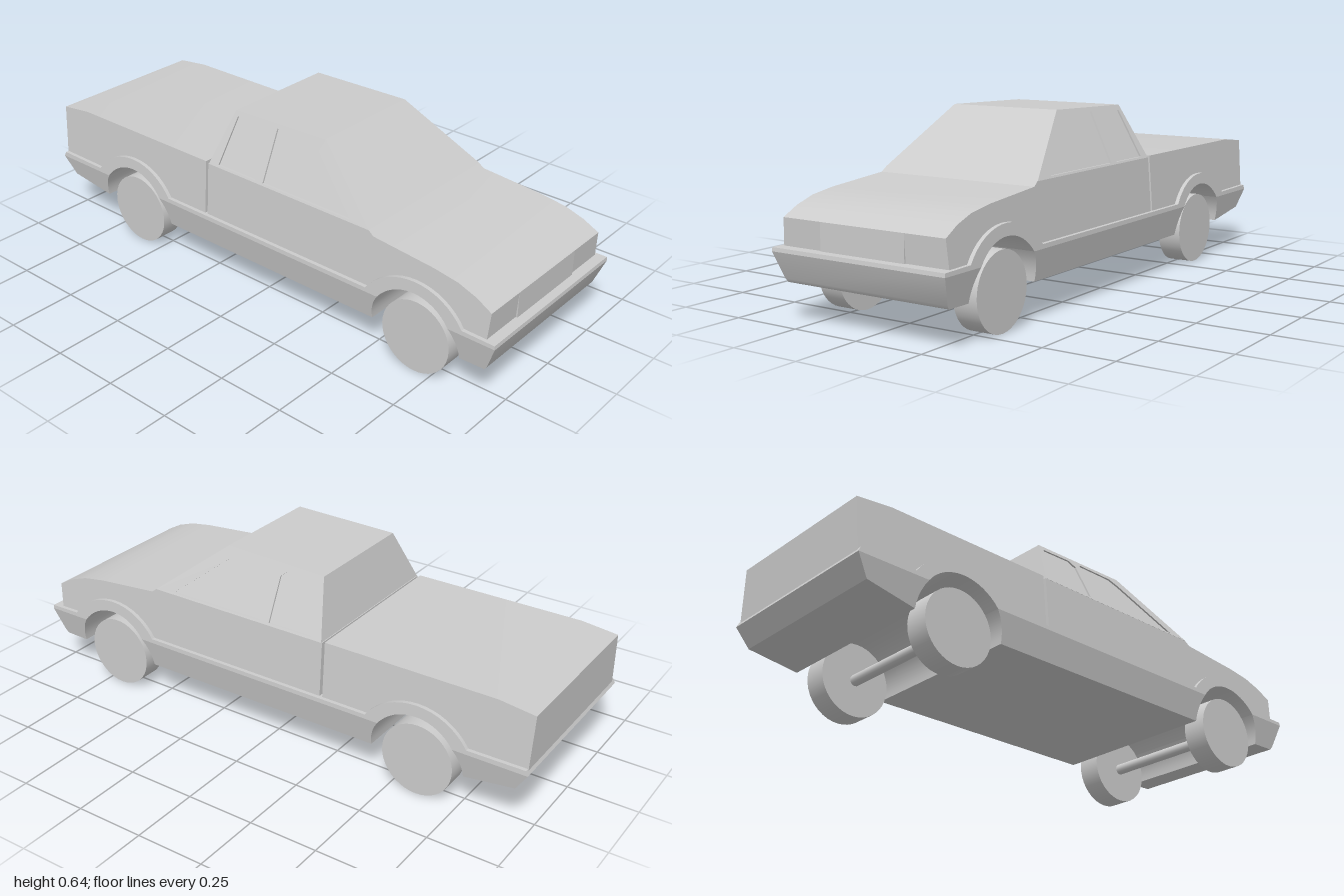
import * as THREE from 'three';
import { toCreasedNormals } from 'three/addons/utils/BufferGeometryUtils.js';

const FRONT = 0.69, REAR = -0.6, AXLE_Y = 0.133;

// Arc over a wheel from its front to its back, starting at height y0
function arch(zc, rz, ry, y0, from = 0, to = 1, n = 16) {
  const a = Math.asin((y0 - AXLE_Y) / ry);
  return Array.from({ length: n + 1 }, (_, i) => {
    const t = a + (Math.PI - 2 * a) * (from + (to - from) * i / n);
    return [zc + rz * Math.cos(t), AXLE_Y + ry * Math.sin(t)];
  });
}
const opening = (zc, y0) => arch(zc, 0.172, 0.172, y0);
const flare = (zc) => arch(zc, 0.225, 0.212, 0.25);

// Side of a wheel opening between two heights; dir +1 is its front side
function openingSide(zc, dir, y0, y1, n = 5) {
  return Array.from({ length: n + 1 }, (_, i) => {
    const y = y0 + (y1 - y0) * i / n;
    return [zc + dir * Math.sqrt(0.172 ** 2 - (y - AXLE_Y) ** 2), y];
  });
}

// Extrudes a side outline of [z, y] points across the car; half width goes from w0 at y0 to w1 at y1
function across(outline, [y0, w0], [y1, w1], holes = []) {
  const vec = (list) => list.map(([z, y]) => new THREE.Vector2(z, y));
  const shape = new THREE.Shape(vec(outline));
  holes.forEach((h) => shape.holes.push(new THREE.Path(vec(h))));
  const geo = new THREE.ExtrudeGeometry(shape, { depth: 2, bevelEnabled: false });
  geo.translate(0, 0, -1).rotateY(-Math.PI / 2);
  const p = geo.attributes.position;
  for (let i = 0; i < p.count; i++) {
    const t = (p.getY(i) - y0) / (y1 - y0);
    p.setX(i, Math.sign(p.getX(i)) * (w0 + (w1 - w0) * t));
  }
  return toCreasedNormals(geo, 0.45);
}

export function createModel() {
  const group = new THREE.Group();
  const material = new THREE.MeshStandardMaterial({ color: 0xcccccc });
  const add = (name, geo) => {
    const mesh = new THREE.Mesh(geo, material);
    mesh.name = name;
    group.add(mesh);
    return mesh;
  };
  const bodyLow = [0.235, 0.326], bodyHigh = [0.45, 0.31];

  // Hood, fenders and doors
  add('frontBody', across([
    [0.96, 0.235], [0.967, 0.34], [0.91, 0.371], [0.84, 0.395], [0.75, 0.409],
    [0.51, 0.43], [0.49, 0.445], [-0.225, 0.445], [-0.225, 0.235],
    ...opening(FRONT, 0.235).reverse(),
  ], bodyLow, bodyHigh));

  // Covered load bed
  add('loadBed', across([
    [-0.236, 0.235], [-0.236, 0.45], [-0.87, 0.45], [-1, 0.435], [-0.994, 0.235],
    ...opening(REAR, 0.235).reverse(),
  ], bodyLow, bodyHigh));

  // Cladding ridge that rises over the wheels
  add('claddingRidge', across([
    [1, 0.235], [0.998, 0.248], ...flare(FRONT), ...flare(REAR), [-0.992, 0.252], [-1, 0.235],
    ...opening(REAR, 0.235).reverse(), ...opening(FRONT, 0.235).reverse(),
  ], [0.235, 0.34], [0.345, 0.332]));

  // Lower body: bumpers and sills, tucked in towards the bottom
  const skirtLow = [0.13, 0.317], skirtHigh = [0.235, 0.34];
  add('frontBumper', across([
    [1, 0.235], [0.965, 0.145], [0.955, 0.132],
    ...openingSide(FRONT, 1, 0.13, 0.235),
  ], skirtLow, skirtHigh));
  add('sillAndFloor', across([
    ...openingSide(FRONT, -1, 0.235, 0.13), ...openingSide(REAR, 1, 0.13, 0.235),
  ], skirtLow, skirtHigh));
  add('rearBumper', across([
    ...openingSide(REAR, -1, 0.235, 0.135), [-0.955, 0.165], [-1, 0.235],
  ], skirtLow, skirtHigh));

  // Cab shell with recessed side windows
  const cab = [[0.49, 0.445], [0.23, 0.645], [-0.17, 0.635], [-0.222, 0.445]];
  const windows = [
    [[0.41, 0.452], [0.215, 0.605], [0.18, 0.625], [0.025, 0.625], [0.03, 0.452]],
    [[-0.005, 0.452], [-0.005, 0.6], [-0.03, 0.622], [-0.155, 0.617], [-0.178, 0.452]],
  ];
  add('cab', across(cab, [0.445, 0.311], [0.645, 0.213], windows));
  const inner = [[0.47, 0.445], [0.225, 0.635], [-0.16, 0.625], [-0.21, 0.445]];
  add('sideWindows', across(inner, [0.445, 0.304], [0.645, 0.206]));

  // Front grille panel
  add('grille', new THREE.BoxGeometry(0.33, 0.094, 0.008)).position.set(0, 0.293, 0.963);

  // Wheels and axles
  for (const [name, z] of [['front', FRONT], ['rear', REAR]]) {
    for (const s of [-1, 1]) {
      const wheel = add(name + (s > 0 ? 'LeftWheel' : 'RightWheel'),
        new THREE.CylinderGeometry(0.131, 0.131, 0.088, 40).rotateZ(Math.PI / 2));
      wheel.position.set(s * 0.272, 0.131, z);
    }
    add(name + 'Axle', new THREE.CylinderGeometry(0.02, 0.02, 0.48, 16).rotateZ(Math.PI / 2))
      .position.set(0, 0.129, z);
  }
  return group;
}
